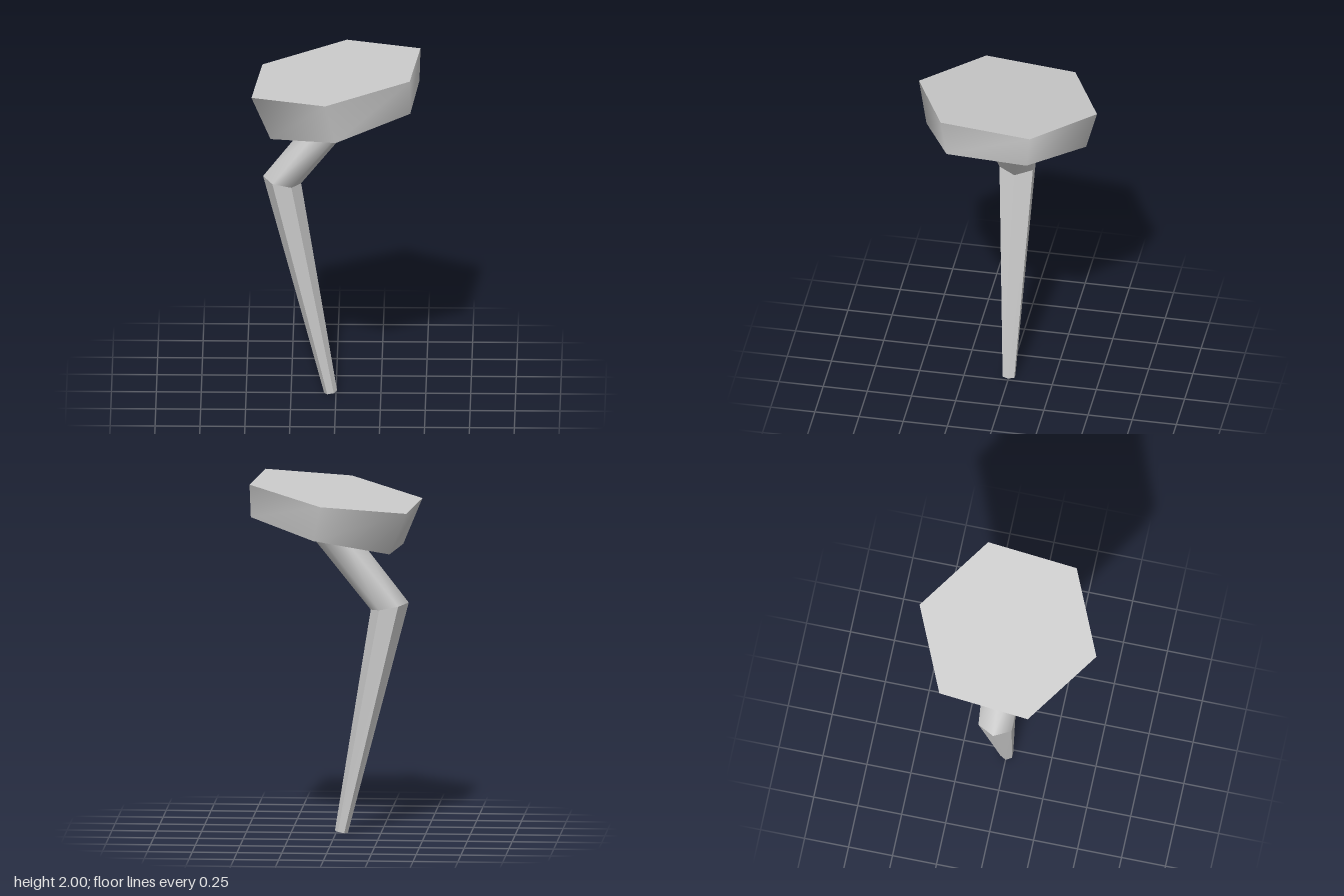
import * as THREE from 'three';
import { mergeGeometries } from 'three/addons/utils/BufferGeometryUtils.js';

const SIDES = 6;

// Tilted hexagon: centre, radii along x and z, slope of its plane, turn in degrees
function ring({ x, y, rx, rz, slopeX = 0, slopeZ = 0, turn = 0 }) {
  return Array.from({ length: SIDES }, (_, k) => {
    const t = THREE.MathUtils.degToRad(turn + (k * 360) / SIDES);
    const dx = rx * Math.cos(t), dz = rz * Math.sin(t);
    return new THREE.Vector3(x + dx, y + slopeX * dx + slopeZ * dz, dz);
  });
}

function surface(points, index, flat) {
  let g = new THREE.BufferGeometry().setFromPoints(points);
  g.setIndex(index);
  if (flat) g = g.toNonIndexed();
  g.computeVertexNormals();
  return flat ? g : g.toNonIndexed();
}

// Closed solid between two rings, with flat or smooth sides
function loft(bottom, top, flat) {
  const sides = [], lower = [], upper = [];
  for (let k = 0; k < SIDES; k++) {
    const n = (k + 1) % SIDES;
    sides.push(k, k + SIDES, n, n, k + SIDES, n + SIDES);
    if (k > 0 && k < SIDES - 1) {
      lower.push(0, k, k + 1);
      upper.push(0, k + 1, k);
    }
  }
  return mergeGeometries([
    surface([...bottom, ...top], sides, flat),
    surface(bottom, lower, true),
    surface(top, upper, true),
  ]);
}

export function createModel() {
  const group = new THREE.Group();
  const grey = new THREE.MeshStandardMaterial({ color: 0xcccccc });
  grey.name = 'grey';

  const add = (name, bottom, top, flat) => {
    const mesh = new THREE.Mesh(loft(bottom, top, flat), grey);
    mesh.name = name;
    group.add(mesh);
  };

  const foot = ring({ x: -0.03, y: 0.009, rx: 0.036, rz: 0.038, slopeX: 0.2 });
  const bend = ring({ x: -0.3, y: 1.283, rx: 0.106, rz: 0.109, slopeX: -0.2 });
  const neckTop = ring({ x: 0.032, y: 1.703, rx: 0.158, rz: 0.128, slopeX: 0.24 });
  const headBottom = ring({ x: 0.05, y: 1.705, rx: 0.452, rz: 0.463, slopeX: 0.243, turn: -24.3 });
  const headTop = ring({ x: 0, y: 1.926, rx: 0.512, rz: 0.517, slopeX: 0.156, slopeZ: 0.036, turn: -24 });

  // Tapered, faceted lower stem
  add('lowerStem', foot, bend, true);
  // Leaning upper stem, smooth-shaded
  add('upperStem', bend, neckTop, false);
  // Tilted hexagonal cap
  add('cap', headBottom, headTop, false);

  return group;
}
